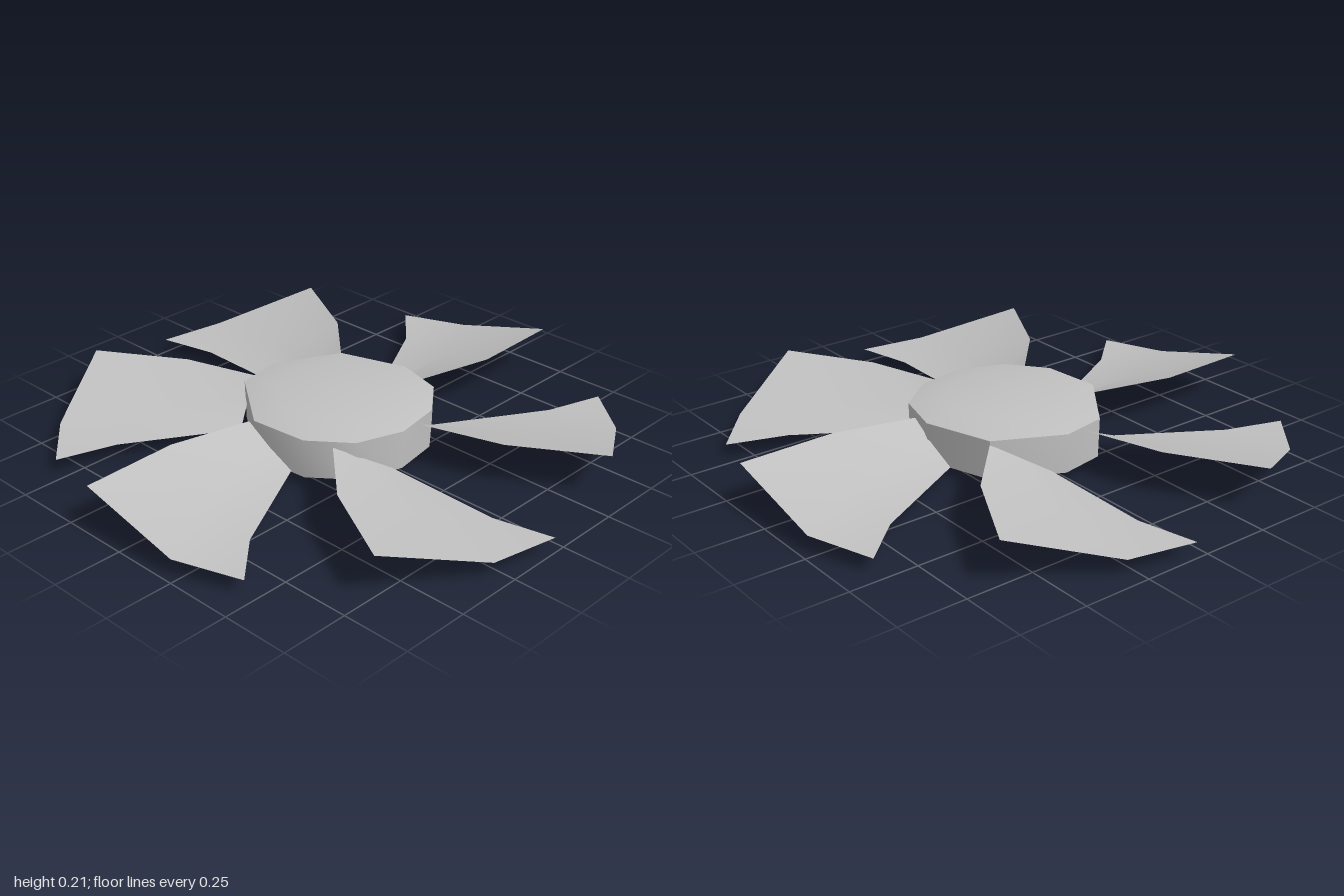
import * as THREE from 'three';
import { toCreasedNormals } from 'three/addons/utils/BufferGeometryUtils.js';

// Surface through equal-length rows of points; 'closed' joins each row's ends
function loft(rows, closed) {
  const n = rows[0].length;
  const index = [];
  for (let r = 0; r < rows.length - 1; r++) {
    for (let i = 0; i < (closed ? n : n - 1); i++) {
      const j = (i + 1) % n;
      const a = r * n + i, b = r * n + j, c = a + n, d = b + n;
      index.push(a, c, b, b, c, d);
    }
  }
  const g = new THREE.BufferGeometry();
  g.setAttribute('position', new THREE.Float32BufferAttribute(rows.flat(2), 3));
  g.setIndex(index);
  g.computeVertexNormals();
  return g;
}

export function createModel() {
  const group = new THREE.Group();
  const grey = new THREE.MeshStandardMaterial({ color: 0xc0c0c0, side: THREE.DoubleSide });
  grey.name = 'grey';

  // Hub: slightly uneven ten-sided outline, as [x, z]
  const outline = [
    [0.34, 0.02], [0.29, 0.20], [0.15, 0.31], [-0.03, 0.34], [-0.20, 0.28],
    [-0.31, 0.14], [-0.33, -0.08], [-0.15, -0.32], [0.02, -0.35], [0.26, -0.23],
  ];
  const ring = (s, y) => outline.map(([x, z]) => [x * s, y, z * s]);
  const addHubPart = (name, rings) => {
    const geometry = toCreasedNormals(loft(rings.map(([s, y]) => ring(s, y)), true), 0.7);
    const mesh = new THREE.Mesh(geometry, grey);
    mesh.name = name;
    group.add(mesh);
  };
  addHubPart('hubTopCap', [[1, 0.18], [0.66, 0.205], [0.001, 0.21]].reverse());
  addHubPart('hubBody', [[1, 0.18], [0.99, 0.035]]);
  addHubPart('hubBottomCap', [[0.99, 0.035], [0.57, 0.004], [0.001, 0]]);

  // Blade: root, middle and tip sections, each from low to high edge
  const blade = loft([
    [[0.33, 0.055, -0.10], [0.335, 0.11, 0.0], [0.325, 0.165, 0.11]],
    [[0.72, 0.055, -0.31], [0.68, 0.08, -0.07], [0.62, 0.165, 0.18]],
    [[0.885, 0.055, -0.46], [0.97, 0.06, -0.22], [0.98, 0.165, 0.17]],
  ].map((row) => row.reverse()), false);
  for (let i = 0; i < 6; i++) {
    const mesh = new THREE.Mesh(blade, grey);
    mesh.name = 'blade' + (i + 1);
    mesh.rotation.y = (i * Math.PI) / 3;
    group.add(mesh);
  }
  return group;
}
